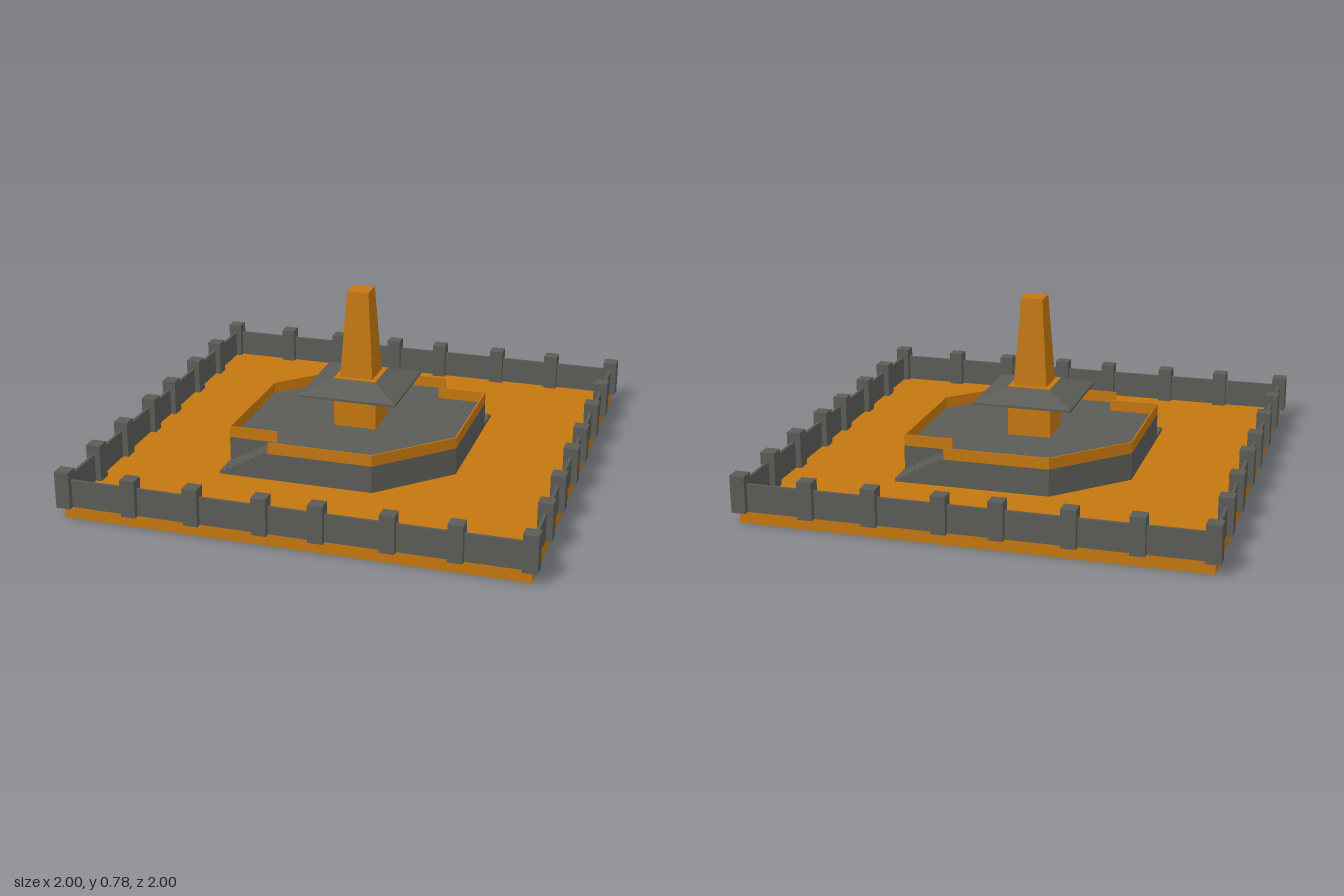
import * as THREE from 'three';

const ochre = new THREE.MeshStandardMaterial({ color: 0xc4760e });
ochre.name = 'ochre';
const stone = new THREE.MeshStandardMaterial({ color: 0x5b5c57 });
stone.name = 'stone grey';

function add(parent, name, geometry, material, x = 0, y = 0, z = 0) {
  const mesh = new THREE.Mesh(geometry, material);
  mesh.name = name;
  mesh.position.set(x, y, z);
  parent.add(mesh);
  return mesh;
}

// Box given by its centre in plan and its lower and upper heights
function block(parent, name, material, x, z, w, d, y0, y1) {
  return add(parent, name, new THREE.BoxGeometry(w, y1 - y0, d), material, x, (y0 + y1) / 2, z);
}

// Square frustum given by its half widths
function frustum(parent, name, material, bottom, top, y0, y1) {
  const g = new THREE.CylinderGeometry(top * Math.SQRT2, bottom * Math.SQRT2, y1 - y0, 4)
    .rotateY(Math.PI / 4).toNonIndexed();
  g.computeVertexNormals();
  return add(parent, name, g, material, 0, (y0 + y1) / 2, 0);
}

export function createModel() {
  const model = new THREE.Group();
  model.name = 'walledCourtWithTower';
  const GROUND = 0.05, FLOOR = 0.17, RAIL = 0.22;

  block(model, 'groundSlab', ochre, 0, 0, 1.95, 1.95, 0, GROUND);

  // Four thin boundary walls with posts, each side starting at one corner
  const boundary = new THREE.Group();
  boundary.name = 'boundaryWall';
  model.add(boundary);
  for (let i = 0; i < 4; i++) {
    const side = new THREE.Group();
    side.name = 'wallSide';
    side.rotation.y = i * Math.PI / 2;
    boundary.add(side);
    block(side, 'wall', stone, 0, 0.968, 1.93, 0.012, GROUND, FLOOR);
    for (const x of [-0.968, -0.678, -0.408, -0.117, 0.117, 0.408, 0.678]) {
      block(side, 'wallPost', stone, x, 0.968, 0.062, 0.062, GROUND, 0.21);
    }
  }

  // Half of the platform outline in x, z; the other half is its half-turn
  const E = 0.485, CUT = 0.195, SX = 0.265, SZ = 0.36;
  const half = [[-SX, SZ], [-E, SZ], [-E, -CUT], [-CUT, -E], [SX, -E]];
  const outline = [...half, ...half.map(([x, z]) => [-x, -z])];
  const shape = new THREE.Shape(outline.map(([x, z]) => new THREE.Vector2(x, -z)));
  const platform = new THREE.ExtrudeGeometry(shape, { depth: FLOOR - GROUND, bevelEnabled: false });
  add(model, 'platform', platform.rotateX(-Math.PI / 2), stone, 0, GROUND, 0);

  // Parapet and staircase, repeated with a half-turn
  for (let k = 0; k < 2; k++) {
    const part = new THREE.Group();
    part.name = 'parapetAndStairs';
    part.rotation.y = k * Math.PI;
    model.add(part);
    const T = 0.006;
    for (let i = 0; i < half.length - 1; i++) {
      const [x0, z0] = half[i], [x1, z1] = half[i + 1];
      const dx = x1 - x0, dz = z1 - z0, len = Math.hypot(dx, dz);
      // shift inwards by half the thickness
      const nx = -dz / len * T / 2, nz = dx / len * T / 2;
      block(part, 'parapet', ochre, (x0 + x1) / 2 + nx, (z0 + z1) / 2 + nz, len, T, FLOOR, RAIL)
        .rotation.y = Math.atan2(-dz, dx);
    }
    const STEPS = 8, tread = (E - SX) / STEPS;
    for (let i = 0; i < STEPS; i++) {
      const top = GROUND + (FLOOR - GROUND) * (i + 1) / STEPS;
      block(part, 'step', stone, -E + (i + 0.5) * tread, (SZ + E) / 2, tread, E - SZ, GROUND, top);
    }
  }

  // Central shrine: square base, spreading roof and tapered tower
  block(model, 'shrineBase', ochre, 0, 0, 0.19, 0.19, FLOOR, 0.336);
  block(model, 'roofEave', stone, 0, 0, 0.434, 0.434, 0.334, 0.344);
  frustum(model, 'roof', stone, 0.217, 0.097, 0.344, 0.39);
  block(model, 'roofCap', ochre, 0, 0, 0.192, 0.192, 0.388, 0.393);
  frustum(model, 'tower', ochre, 0.074, 0.048, 0.39, 0.78);

  return model;
}
